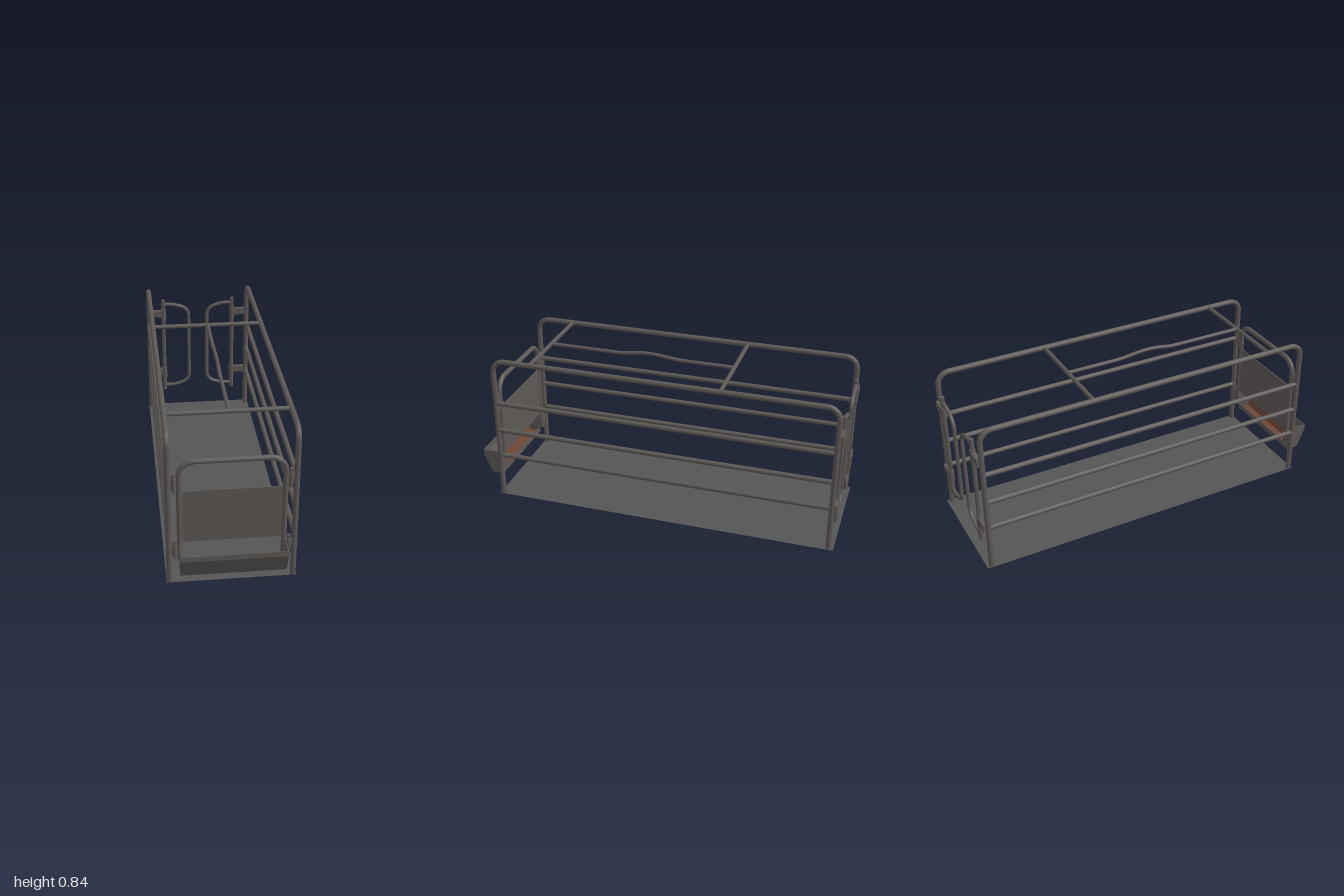
import * as THREE from 'three';

const steel = new THREE.MeshStandardMaterial({ color: 0x5c5856 });
const floorMat = new THREE.MeshStandardMaterial({ color: 0x555555, side: THREE.DoubleSide });
const rust = new THREE.MeshStandardMaterial({ color: 0x6e4636, side: THREE.DoubleSide });
const V = (x, y, z) => new THREE.Vector3(x, y, z);

function add(parent, name, geo, mat = steel) {
  const m = new THREE.Mesh(geo, mat);
  m.name = name;
  parent.add(m);
  return m;
}

function box(parent, name, w, h, d, x, y, z) {
  add(parent, name, new THREE.BoxGeometry(w, h, d)).position.set(x, y, z);
}

// Straight capped rod between two points
function rod(parent, name, a, b, r) {
  const m = add(parent, name, new THREE.CylinderGeometry(r, r, a.distanceTo(b), 12));
  m.position.copy(a).add(b).multiplyScalar(0.5);
  m.quaternion.setFromUnitVectors(V(0, 1, 0), b.clone().sub(a).normalize());
}

// Bent pipe through the points, with corners rounded by the given radius
function pipe(parent, name, pts, bend, r, segments) {
  const path = new THREE.CurvePath();
  let from = pts[0];
  for (let i = 1; i < pts.length - 1; i++) {
    const p = pts[i];
    const a = p.clone().add(pts[i - 1].clone().sub(p).setLength(bend));
    const b = p.clone().add(pts[i + 1].clone().sub(p).setLength(bend));
    const ca = p.clone().lerp(a, 0.45), cb = p.clone().lerp(b, 0.45);
    path.add(new THREE.LineCurve3(from, a));
    path.add(new THREE.CubicBezierCurve3(a, ca, cb, b));
    from = b;
  }
  path.add(new THREE.LineCurve3(from, pts[pts.length - 1]));
  add(parent, name, new THREE.TubeGeometry(path, segments, r, 12));
}

// Polygon in the z-y plane extruded along x and centred on x = 0
function extrudeX(points, width) {
  const shape = new THREE.Shape(points.map(p => new THREE.Vector2(p[0], p[1])));
  const geo = new THREE.ExtrudeGeometry(shape, { depth: width, bevelEnabled: false });
  return geo.rotateY(-Math.PI / 2).translate(width / 2, 0, 0);
}

function sideFrame(s) {
  const g = new THREE.Group();
  g.name = s > 0 ? 'leftSideFrame' : 'rightSideFrame';
  const x = 0.305 * s;
  pipe(g, 'sideHoop', [V(x, 0, 0.87), V(x, 0.815, 0.87), V(x, 0.815, -0.97), V(x, 0, -0.97)], 0.065, 0.0145, 260);
  for (const y of [0.245, 0.4, 0.565]) rod(g, 'sideRail', V(x, y, 0.87), V(x, y, -0.97), 0.013);
  return g;
}

// Swinging D-shaped rear gate with its brackets
function rearGate(s) {
  const g = new THREE.Group();
  g.name = s > 0 ? 'leftRearGate' : 'rightRearGate';
  const z = -0.982, x = 0.215 * s;
  rod(g, 'gatePivot', V(x, 0.115, z), V(x, 0.73, z), 0.012);
  pipe(g, 'gateLoop', [V(x, 0.7, z), V(0.14 * s, 0.7, z), V(0.057 * s, 0.665, z),
    V(0.057 * s, 0.18, z), V(0.14 * s, 0.145, z), V(x, 0.145, z)], 0.04, 0.0105, 130);
  for (const y of [0.635, 0.235]) {
    rod(g, 'pivotSleeve', V(x, y - 0.035, z), V(x, y + 0.035, z), 0.016);
    box(g, 'gateBracket', 0.085, 0.04, 0.024, 0.262 * s, y + 0.005, z);
  }
  return g;
}

function frontGate() {
  const g = new THREE.Group();
  g.name = 'frontGate';
  const z = 0.872;
  pipe(g, 'gateHoop', [V(-0.252, 0.13, z), V(-0.252, 0.675, z), V(0.252, 0.675, z), V(0.252, 0.13, z)], 0.075, 0.0135, 150);
  box(g, 'gatePanel', 0.49, 0.285, 0.006, 0, 0.3725, z);
  for (const s of [-1, 1]) for (const y of [0.56, 0.185]) {
    const x = 0.277 * s;
    rod(g, 'hingePin', V(x, y - 0.05, z), V(x, y + 0.05, z), 0.009);
    rod(g, 'hingeBarrel', V(x, y - 0.028, z), V(x, y + 0.028, z), 0.013);
    box(g, 'hingePlate', 0.04, 0.02, 0.01, x, y + 0.005, z);
  }
  return g;
}

function trough() {
  const g = new THREE.Group();
  g.name = 'feedTrough';
  const outer = [[0.889, 0.12], [0.889, 0.09], [0.955, 0.09], [1, 0.2], [1, 0.228]];
  const inner = [[0.996, 0.228], [0.996, 0.201], [0.952, 0.094], [0.893, 0.094], [0.893, 0.12]];
  add(g, 'troughShell', extrudeX([...outer, ...inner], 0.514));
  for (const s of [-1, 1]) {
    const end = extrudeX([[0.889, 0.228], ...outer.slice(1)], 0.005);
    add(g, 'troughEnd', end.translate(0.2545 * s, 0, 0));
  }
  // Rusty lining of the lower part
  add(g, 'troughLining', extrudeX([[0.893, 0.118], [0.893, 0.094], [0.952, 0.094], [0.977, 0.155],
    [0.974, 0.155], [0.949, 0.098], [0.896, 0.098], [0.896, 0.118]], 0.502), rust);
  return g;
}

function topBars() {
  const g = new THREE.Group();
  g.name = 'topBars';
  for (const z of [0.66, -0.37]) rod(g, 'crossBar', V(-0.305, 0.814, z), V(0.305, 0.814, z), 0.0115);
  // Centre bar with a slight raised hump
  const pts = [V(0.005, 0.814, 0.66), V(0.005, 0.814, 0.24), V(0.005, 0.83, 0.14),
    V(0.005, 0.83, 0.06), V(0.005, 0.814, -0.07), V(0.005, 0.814, -0.37)];
  pipe(g, 'centreBar', pts, 0.025, 0.01, 80);
  return g;
}

export function createModel() {
  const model = new THREE.Group();
  model.name = 'livestockCrate';
  const floor = add(model, 'floor', new THREE.PlaneGeometry(0.642, 1.882), floorMat);
  floor.rotation.x = -Math.PI / 2;
  floor.position.set(0, 0, -0.056);
  for (const s of [-1, 1]) model.add(sideFrame(s), rearGate(s));
  model.add(topBars(), frontGate(), trough());
  return model;
}
